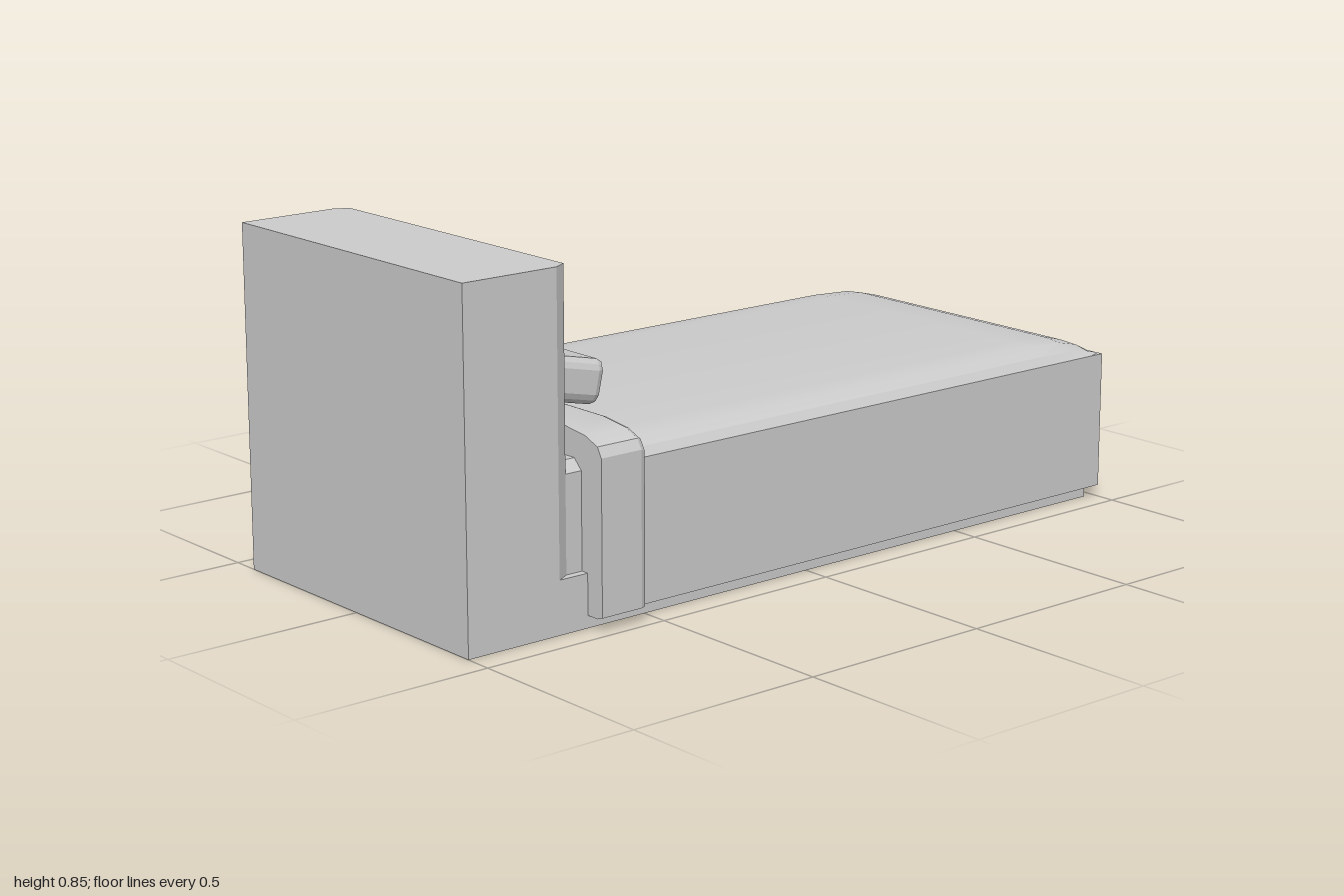
import * as THREE from 'three';
import { toCreasedNormals } from 'three/addons/utils/BufferGeometryUtils.js';
import { RoundedBoxGeometry } from 'three/addons/geometries/RoundedBoxGeometry.js';

const grey = new THREE.MeshStandardMaterial({ color: 0xcccccc });
const greyFlat = new THREE.MeshStandardMaterial({ color: 0xcccccc, flatShading: true });

function part(group, name, geometry, material = grey) {
  const mesh = new THREE.Mesh(geometry, material);
  mesh.name = name;
  group.add(mesh);
  return mesh;
}

function box(x0, x1, y0, y1, halfZ) {
  return new THREE.BoxGeometry(x1 - x0, y1 - y0, halfZ * 2)
    .translate((x0 + x1) / 2, (y0 + y1) / 2, 0);
}

// Footprint mirrored in z, extruded upwards from y0 to y1
function slab(half, y0, y1) {
  const mirrored = half.map(([x, z]) => [x, -z]).reverse();
  const shape = new THREE.Shape([...half, ...mirrored].map(([x, z]) => new THREE.Vector2(x, z)));
  return new THREE.ExtrudeGeometry(shape, { depth: y1 - y0, bevelEnabled: false })
    .rotateX(-Math.PI / 2).translate(0, y0, 0);
}

// Closed solid through cross-sections along x; each is a half profile of [z, y] mirrored in z
function loft(sections) {
  const rings = sections.map(([x, half]) =>
    [...half, ...half.map(([z, y]) => [-z, y]).reverse()].map(([z, y]) => [x, y, z]));
  const pos = [];
  const tri = (a, b, c) => pos.push(...a, ...b, ...c);
  const n = rings[0].length;
  for (let s = 0; s < rings.length - 1; s++) {
    const r0 = rings[s], r1 = rings[s + 1];
    for (let i = 0; i < n; i++) {
      const j = (i + 1) % n;
      tri(r0[i], r1[i], r1[j]);
      tri(r0[i], r1[j], r0[j]);
    }
  }
  const first = rings[0], last = rings[rings.length - 1];
  for (let i = 1; i < n - 1; i++) {
    tri(first[0], first[i], first[i + 1]);
    tri(last[0], last[i + 1], last[i]);
  }
  const geometry = new THREE.BufferGeometry();
  geometry.setAttribute('position', new THREE.Float32BufferAttribute(pos, 3));
  return toCreasedNormals(geometry, 0.4);
}

export function createModel() {
  const bed = new THREE.Group();
  bed.name = 'bed';

  // Low plinth and the taller block under the head end
  part(bed, 'plinth', box(-1, 0.97, 0, 0.035, 0.43));
  part(bed, 'headBlock', box(-1, -0.6, 0, 0.13, 0.43));

  // Headboard with chamfered front corners and a recessed shelf
  const headboard = new THREE.Group();
  headboard.name = 'headboard';
  bed.add(headboard);
  const outline = [[-1, 0.43], [-0.745, 0.43], [-0.71, 0.41]];
  const niche = [[-0.71, 0.345], [-0.92, 0.345]];
  part(headboard, 'headboardLower', slab(outline, 0.13, 0.587));
  part(headboard, 'headboardShelf', slab([...outline, ...niche], 0.587, 0.76));
  part(headboard, 'headboardTop', slab(outline, 0.76, 0.845));

  // Mattress showing between headboard and covers
  const mattress = [[0.41, 0.1], [0.41, 0.365], [0.385, 0.39]];
  part(bed, 'mattress', loft([[-0.72, mattress], [-0.6, mattress]]));

  // Blanket: domed top that falls away towards the foot
  const dome = [[0.45, 0], [0.435, 0.45], [0.395, 0.86], [0.34, 1]];
  const fall = [[-0.56, 1], [0.78, 1], [0.9, 0.84], [0.96, 0.5], [1, 0]];
  part(bed, 'blanket', loft(fall.map(([x, f]) =>
    [x, [[0.45, 0.03], ...dome.map(([z, h]) => [z, 0.378 + 0.047 * h * f])]])));

  // Folded band across the blanket, slightly eased at its front edge
  const fold = [[0.465, 0.03], [0.482, 0.036], [0.482, 0.408], [0.468, 0.432], [0.425, 0.449], [0.345, 0.459]];
  const eased = fold.map(([z, y], i) => [z - 0.007, i < 2 ? y : y - 0.006]);
  part(bed, 'blanketFold', loft([[-0.665, fold], [-0.55, fold], [-0.535, eased]]));

  // Tilted pillow, narrowed a little at its ends
  const pillowShape = new RoundedBoxGeometry(0.212, 0.108, 0.43, 1, 0.022);
  const p = pillowShape.attributes.position;
  for (let i = 0; i < p.count; i++) {
    if (Math.abs(p.getZ(i)) > 0.2) p.setXYZ(i, p.getX(i) * 0.96, p.getY(i) * 0.9, p.getZ(i));
  }
  const pillow = part(bed, 'pillow', pillowShape, greyFlat);
  pillow.position.set(-0.539, 0.513, 0);
  pillow.rotation.z = -0.22;

  return bed;
}
